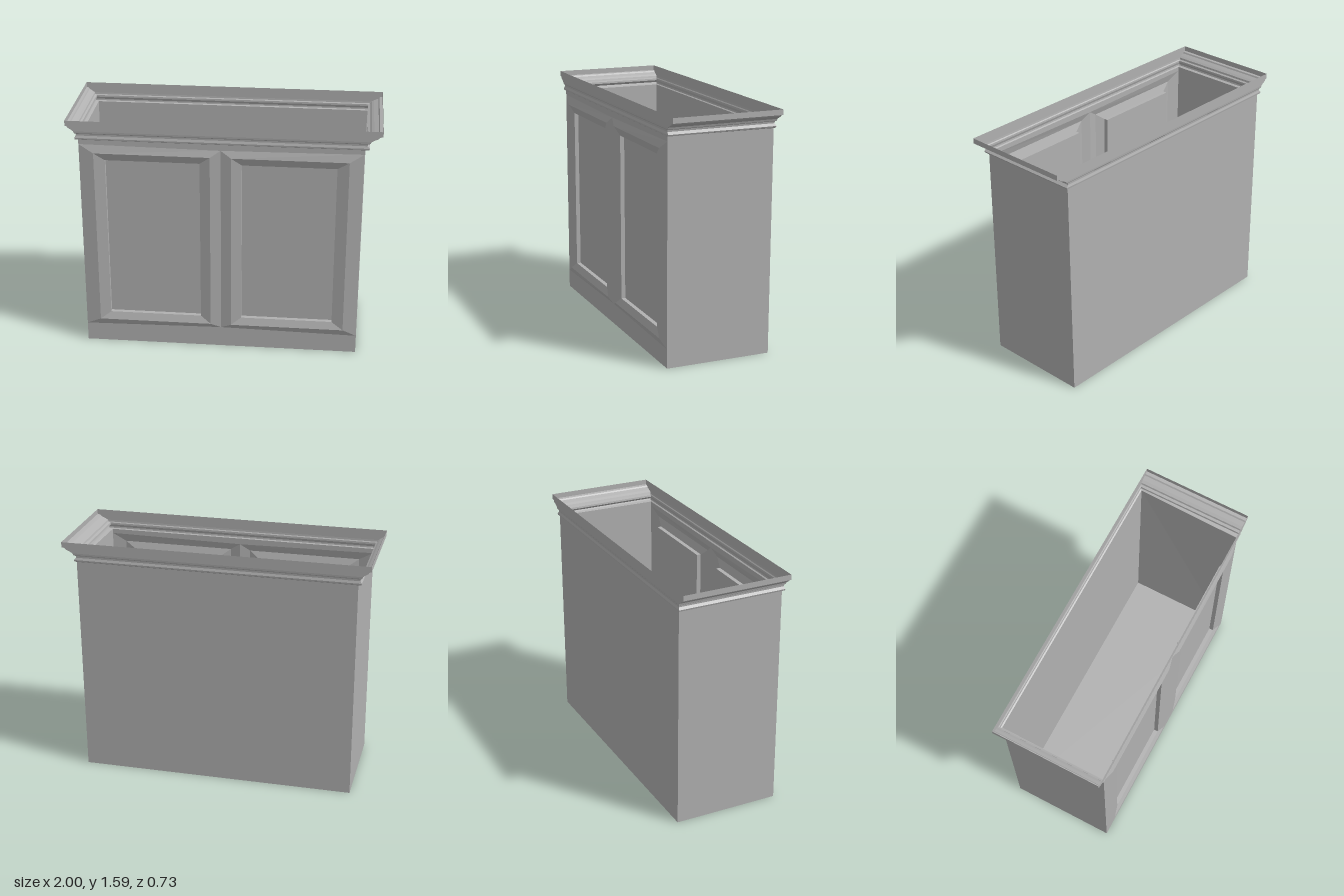
import * as THREE from 'three';

const paint = new THREE.MeshStandardMaterial({ color: 0xb0b0b0, side: THREE.DoubleSide });
paint.name = 'grey paint';

// Flat-faced sheet from polygons whose corners run counter-clockwise seen from outside
function sheet(name, polygons) {
  const positions = [];
  for (const p of polygons) {
    for (let i = 1; i < p.length - 1; i++) positions.push(...p[0], ...p[i], ...p[i + 1]);
  }
  const geometry = new THREE.BufferGeometry();
  geometry.setAttribute('position', new THREE.Float32BufferAttribute(positions, 3));
  geometry.computeVertexNormals();
  const mesh = new THREE.Mesh(geometry, paint);
  mesh.name = name;
  return mesh;
}

// Joins neighbouring four-cornered loops with quads
function loft(loops) {
  const quads = [];
  for (let k = 0; k < loops.length - 1; k++) {
    for (let i = 0; i < 4; i++) {
      const j = (i + 1) % 4;
      quads.push([loops[k][i], loops[k][j], loops[k + 1][j], loops[k + 1][i]]);
    }
  }
  return quads;
}

const L = -0.92, R = 0.89, MID = -0.012, Z = 0.35;
const TOP = 1.46, LOW = 0.125, HIGH = 1.43, MID_LOW = 0.14, MID_HIGH = 1.42;
const R_BACK = 0.905; // top rear corner leans out slightly

// Raised, mitred door frame around a sunken panel
function door(name, outer, ridge, panel) {
  const rect = ([x0, x1, y0, y1], z) => [[x0, y0, z], [x1, y0, z], [x1, y1, z], [x0, y1, z]];
  const group = new THREE.Group();
  group.name = name;
  const sunken = rect(panel, 0.32);
  group.add(
    sheet('doorFrame', loft([outer, rect(ridge, 0.365), rect(panel, 0.348), sunken])),
    sheet('doorPanel', [sunken]),
  );
  return group;
}

export function createModel() {
  const model = new THREE.Group();
  model.name = 'cabinet';

  // Open-topped carcass
  model.add(
    sheet('backWall', [[[R, 0, -Z], [L, 0, -Z], [L, TOP, -Z], [R_BACK, TOP, -Z]]]),
    sheet('rightWall', [[[L, 0, -Z], [L, 0, Z], [L, TOP, Z], [L, TOP, -Z]]]),
    sheet('leftWall', [[[R, 0, Z], [R, 0, -Z], [R_BACK, TOP, -Z], [R, TOP, Z]]]),
    sheet('floor', [[[L, 0, -Z], [R, 0, -Z], [R, 0, Z], [L, 0, Z]]]),
    sheet('plinth', [[[MID, MID_LOW, Z], [L, LOW, Z], [L, 0, Z], [R, 0, Z], [R, LOW, Z]]]),
    sheet('header', [[[MID, MID_HIGH, Z], [R, HIGH, Z], [R, TOP, Z], [L, TOP, Z], [L, HIGH, Z]]]),
  );

  // Two doors meeting in a shallow groove
  model.add(
    door('rightDoor',
      [[L, LOW, Z], [MID, MID_LOW, Z], [MID, MID_HIGH, Z], [L, HIGH, Z]],
      [-0.825, -0.08, 0.17, 1.375], [-0.755, -0.147, 0.22, 1.325]),
    door('leftDoor',
      [[MID, MID_LOW, Z], [R, LOW, Z], [R, HIGH, Z], [MID, MID_HIGH, Z]],
      [0.055, 0.80, 0.17, 1.375], [0.122, 0.725, 0.22, 1.325]),
  );

  // Crown moulding: flares widely at the ends, barely at front and back
  const profile = [
    [0, 1.46], [0.24, 1.465], [0.28, 1.475], [0.14, 1.49], [0.16, 1.502],
    [0.3, 1.508], [0.34, 1.52], [0.5, 1.53], [0.76, 1.543], [0.82, 1.552],
    [1, 1.556], [1, 1.59],
  ];
  const loops = profile.map(([t, y]) => {
    const x0 = L - 0.08 * t, x1 = R + 0.11 * t;
    const z = Z + 0.012 * Math.min(1, t * 3);
    const xb = Math.max(x1, R_BACK);
    return [[x0, y, z], [x1, y, z], [xb, y, -z], [x0, y, -z]];
  });
  model.add(sheet('crownMoulding', loft(loops)));

  return model;
}
